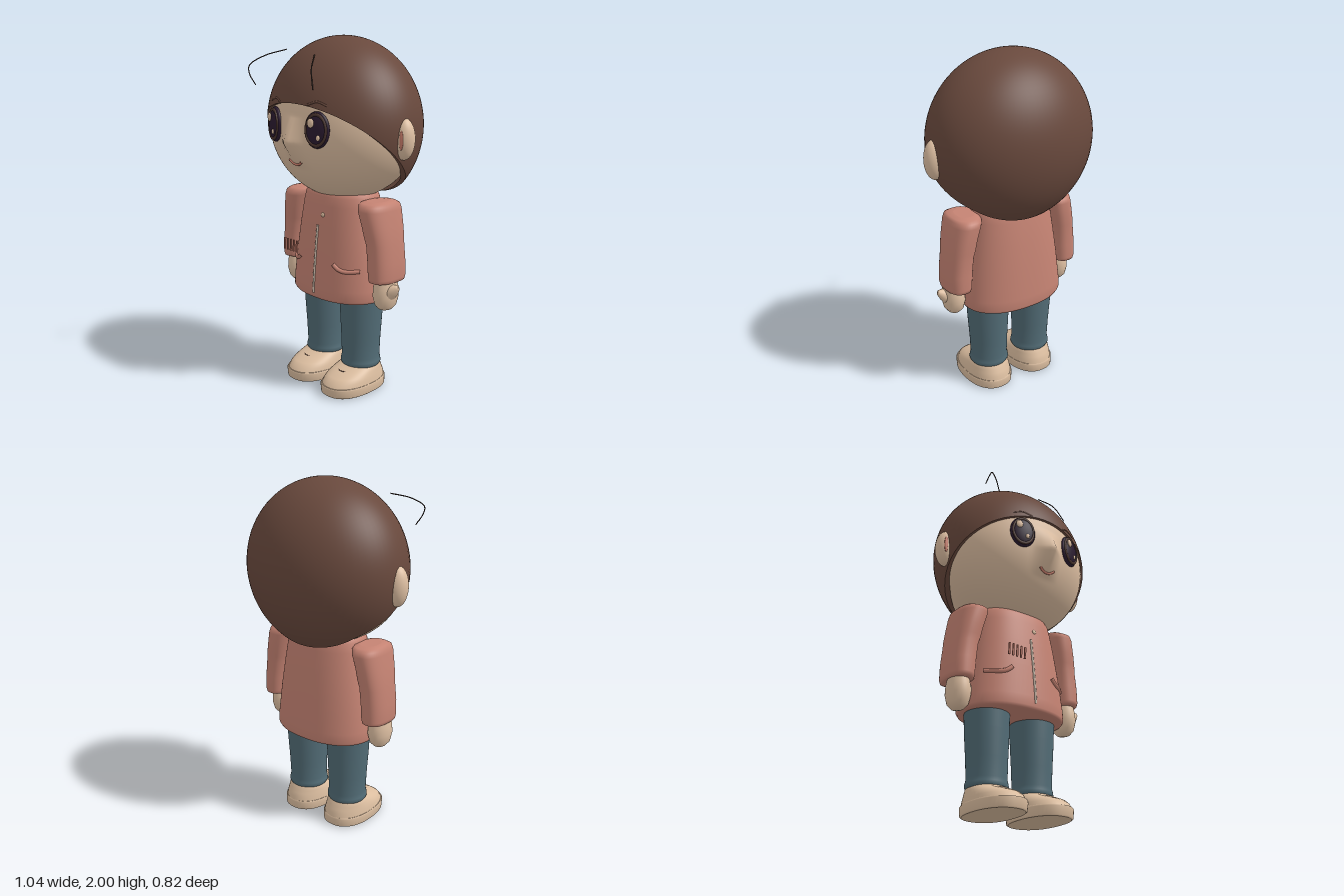
import * as THREE from 'three';

const mat = (name, color, side = THREE.FrontSide) => {
  const m = new THREE.MeshStandardMaterial({ color, side });
  m.name = name;
  return m;
};

// Skins a stack of closed rings (bottom to top), with optional flat caps
function skinRings(rings, capBottom = true, capTop = true) {
  const n = rings[0].length, pos = [], idx = [];
  rings.forEach(r => r.forEach(p => pos.push(p.x, p.y, p.z)));
  for (let j = 0; j < rings.length - 1; j++) for (let i = 0; i < n; i++) {
    const a = j * n + i, b = j * n + (i + 1) % n;
    idx.push(a, a + n, b, b, a + n, b + n);
  }
  const cap = (ring, up) => {
    const base = pos.length / 3, c = new THREE.Vector3();
    ring.forEach(p => { c.addScaledVector(p, 1 / n); pos.push(p.x, p.y, p.z); });
    pos.push(c.x, c.y, c.z);
    for (let i = 0; i < n; i++) {
      const a = base + i, b = base + (i + 1) % n;
      idx.push(base + n, up ? b : a, up ? a : b);
    }
  };
  if (capBottom) cap(rings[0], false);
  if (capTop) cap(rings[rings.length - 1], true);
  const g = new THREE.BufferGeometry();
  g.setAttribute('position', new THREE.Float32BufferAttribute(pos, 3));
  g.setIndex(idx);
  g.computeVertexNormals();
  return g;
}

// Rounded-oval sections: each is [y, cx, cz, rx, rz]; side mirrors cx
function loft(sections, side = 1, power = 2, n = 48) {
  const bend = v => Math.sign(v) * Math.abs(v) ** (2 / power);
  return skinRings(sections.map(([y, cx, cz, rx, rz]) => Array.from({ length: n }, (_, i) => {
    const a = i / n * Math.PI * 2;
    return new THREE.Vector3(side * cx + rx * bend(Math.cos(a)), y, cz + rz * bend(Math.sin(a)));
  })));
}

const tube = (points, r, seg = 24) => new THREE.TubeGeometry(
  new THREE.CatmullRomCurve3(points.map(p => new THREE.Vector3(...p))), seg, r, 8);

const ball = (x, y, z, rx, ry, rz) =>
  new THREE.SphereGeometry(1, 32, 24).scale(rx, ry, rz).translate(x, y, z);

// Depth of the face surface, including the pointed nose
const noseBump = (x, y) => {
  const v = y > 1.455 ? 1 - (y - 1.455) / 0.14 : 1 - (1.455 - y) / 0.15;
  return 0.066 * Math.max(0, 1 - Math.abs(x) / 0.1) * Math.max(0, v);
};
const faceZ = (x, y) => {
  const ry = y > 1.52 ? 0.46 : 0.42;
  return -0.02 + 0.375 * Math.sqrt(Math.max(0, 1 - (x / 0.465) ** 2 - ((y - 1.52) / ry) ** 2)) + noseBump(x, y);
};

const JACKET = [
  [0.548, 0, -0.01, 0.285, 0.2], [0.55, 0, -0.01, 0.305, 0.218], [0.565, 0, -0.01, 0.314, 0.226],
  [0.62, 0, -0.01, 0.312, 0.224], [0.8, 0, -0.01, 0.29, 0.208], [0.95, 0, -0.01, 0.267, 0.191],
  [1.08, 0, -0.01, 0.246, 0.172], [1.13, 0, -0.01, 0.236, 0.16], [1.155, 0, -0.01, 0.22, 0.148],
  [1.165, 0, -0.01, 0.2, 0.132]];
const jacketZ = (x, y) => {
  const k = Math.max(1, JACKET.findIndex(s => s[0] >= y));
  const a = JACKET[k - 1], b = JACKET[k], t = (y - a[0]) / (b[0] - a[0]);
  const rx = a[3] + (b[3] - a[3]) * t, rz = a[4] + (b[4] - a[4]) * t;
  return -0.01 + rz * Math.max(0, 1 - Math.abs(x / rx) ** 2.3) ** (1 / 2.3);
};

function hairGeometry() {
  const rim = z => z > -0.17 ? 1.355 + 0.85 * z : 1.21 + 1.8 * (z + 0.17);
  const at = (t, a, k = 1) => new THREE.Vector3(0.48 * k * Math.sin(t) * Math.cos(a),
    1.52 + 0.48 * Math.cos(t), -0.02 + 0.39 * k * Math.sin(t) * Math.sin(a));
  const n = 72, rows = 36, ends = [];
  for (let i = 0; i < n; i++) {
    let lo = 0.05, hi = 3.1;
    for (let s = 0; s < 30; s++) {
      const m = (lo + hi) / 2, p = at(m, i / n * Math.PI * 2);
      if (p.y > rim(p.z)) lo = m; else hi = m;
    }
    ends.push(lo);
  }
  const ring = (f, k) => ends.map((e, i) => at(Math.max(0.01, e * f), i / n * Math.PI * 2, k));
  const rings = [ring(1, 0.92), ring(1), ring(1)];
  for (let j = 1; j <= rows; j++) rings.push(ring(1 - j / rows));
  return skinRings(rings, false, true);
}

export function createModel() {
  const skin = mat('skin', 0xdfc0a3), hair = mat('hair brown', 0x69493d, THREE.DoubleSide);
  const coat = mat('jacket rose', 0xc58373), denim = mat('denim', 0x526c76);
  const shoe = mat('shoe beige', 0xdcbea0), dark = mat('eye dark', 0x2b1b30);
  const ringBrown = mat('eye ring brown', 0x4b352f), strand = mat('strand dark', 0x33231d);
  const metal = mat('zip beige', 0xc4b5a5), lip = mat('lip rose', 0xc67b69);
  const model = new THREE.Group();
  const add = (name, geo, m, parent = model) => {
    const mesh = new THREE.Mesh(geo, m);
    mesh.name = name;
    parent.add(mesh);
    return mesh;
  };

  // Head with the nose drawn out of the face
  const head = new THREE.SphereGeometry(1, 128, 96), p = head.attributes.position;
  for (let i = 0; i < p.count; i++) {
    const x = p.getX(i) * 0.465, v = p.getY(i), y = 1.52 + v * (v > 0 ? 0.46 : 0.42);
    const front = p.getZ(i) > 0;
    p.setXYZ(i, x, y, -0.02 + p.getZ(i) * 0.375 + (front ? noseBump(x, y) : 0));
  }
  head.computeVertexNormals();
  add('head', head, skin);
  add('hair', hairGeometry(), hair);
  add('rightStrand', tube([[-0.295, 1.92, 0.14], [-0.35, 1.885, 0.26], [-0.385, 1.835, 0.335],
    [-0.37, 1.79, 0.347], [-0.335, 1.73, 0.332]], 0.003, 40), strand);
  add('leftStrand', tube([[0.035, 1.9, 0.225], [0.09, 1.83, 0.295], [0.14, 1.73, 0.33]], 0.003), strand);

  // Mouth
  add('mouth', tube([-0.05, -0.025, 0, 0.025, 0.05].map(x => {
    const y = 1.328 + 9 * x * x;
    return [x, y, faceZ(x, y) + 0.002];
  }), 0.007), lip);

  for (const s of [1, -1]) {
    const side = s > 0 ? 'left' : 'right';

    // Ears
    add(side + 'Ear', ball(s * 0.462, 1.48, -0.012, 0.058, 0.11, 0.058), skin);
    add(side + 'InnerEar', ball(s * 0.485, 1.48, 0.036, 0.012, 0.05, 0.008), lip);

    // Eyes
    const eye = new THREE.Group();
    eye.name = side + 'Eye';
    eye.position.set(s * 0.17, 1.53, faceZ(0.17, 1.53));
    eye.rotation.set(-0.03, s * 0.3, 0);
    model.add(eye);
    add('eyeball', ball(0, 0, 0, 0.074, 0.096, 0.026), dark, eye);
    add('eyeRing', new THREE.TorusGeometry(0.06, 0.007, 8, 40).scale(1, 1.32, 1).translate(0, 0, 0.014), ringBrown, eye);
    add('bigGlint', ball(-0.026, 0.036, 0.025, 0.02, 0.024, 0.009), skin, eye);
    add('smallGlint', ball(0.02, -0.038, 0.024, 0.011, 0.014, 0.007), skin, eye);

    // Eyebrows
    add(side + 'Eyebrow', tube([[0.11, 1.655], [0.165, 1.672], [0.22, 1.655]].map(([x, y]) =>
      [s * x, y, faceZ(x, y) + 0.014]), 0.006), hair);

    // Sleeves
    add(side + 'Sleeve', loft([
      [0.692, 0.36, -0.005, 0.06, 0.1], [0.695, 0.36, -0.005, 0.069, 0.112], [0.715, 0.36, -0.005, 0.073, 0.117],
      [0.8, 0.356, -0.005, 0.076, 0.116], [0.9, 0.345, -0.005, 0.075, 0.117], [0.94, 0.337, -0.004, 0.079, 0.123],
      [1.0, 0.326, -0.002, 0.08, 0.128], [1.085, 0.306, 0, 0.084, 0.135], [1.112, 0.3, 0, 0.083, 0.128],
      [1.125, 0.296, 0, 0.074, 0.105], [1.13, 0.29, 0, 0.05, 0.065]], s, 2.5), coat);

    // Hands
    const hx = s > 0 ? 0.368 : -0.36;
    add(side + 'Hand', loft([
      [0.528, 0, 0, 0.012, 0.014], [0.535, 0, 0, 0.034, 0.042], [0.56, 0, 0, 0.054, 0.066],
      [0.61, 0, 0, 0.064, 0.08], [0.66, 0, 0, 0.062, 0.076], [0.7, 0, 0, 0.055, 0.066]]), skin)
      .position.set(hx, 0, 0.01);
    const thumb = add(side + 'Thumb', new THREE.LatheGeometry([[0.052, -0.04], [0.05, 0], [0.036, 0.045],
      [0.016, 0.082], [0, 0.09]].map(q => new THREE.Vector2(...q)), 24), skin);
    thumb.position.set(hx + 0.022, 0.628, 0.015);
    thumb.rotation.z = -0.98;

    // Trousers
    add(side + 'TrouserLeg', loft([
      [0.136, 0.15, -0.015, 0.1, 0.1], [0.14, 0.15, -0.015, 0.11, 0.11], [0.152, 0.15, -0.015, 0.117, 0.116],
      [0.168, 0.15, -0.015, 0.115, 0.114], [0.19, 0.15, -0.015, 0.108, 0.111], [0.3, 0.151, -0.015, 0.112, 0.115],
      [0.45, 0.153, -0.015, 0.121, 0.123], [0.6, 0.155, -0.015, 0.126, 0.127]], s), denim);

    // Shoes: sole band and upper
    add(side + 'Sole', loft([
      [0, 0.15, 0.045, 0.13, 0.198], [0.006, 0.15, 0.045, 0.138, 0.207], [0.05, 0.15, 0.047, 0.14, 0.21],
      [0.058, 0.15, 0.047, 0.135, 0.205]], s, 2.3), shoe);
    add(side + 'ShoeUpper', loft([
      [0.056, 0.15, 0.045, 0.134, 0.204], [0.08, 0.15, 0.04, 0.13, 0.194], [0.1, 0.15, 0.03, 0.124, 0.176],
      [0.12, 0.15, 0.01, 0.117, 0.146], [0.138, 0.15, -0.01, 0.109, 0.118], [0.148, 0.15, -0.015, 0.1, 0.105]],
    s, 2.2), shoe);
    add(side + 'ShoeSeam', tube([-0.07, 0, 0.07].map(d => [s * 0.15 + d, 0.124, 0.144 - 7 * d * d]), 0.003), ringBrown);

    // Pocket flaps
    add(side + 'Pocket', tube([[0.135, 0.77], [0.165, 0.747], [0.2, 0.737], [0.265, 0.74]].map(([x, y]) =>
      [s * x, y, jacketZ(x, y) + 0.003]), 0.012), coat);
  }

  // Jacket with zip, button and chest bars
  add('jacket', loft(JACKET, 1, 2.3, 72), coat);
  add('zip', tube([0.58, 0.7, 0.85, 0.97].map(y => [0, y, jacketZ(0, y)]), 0.007), metal);
  add('button', ball(0.032, 1.03, jacketZ(0.032, 1.03), 0.013, 0.013, 0.007), shoe);
  for (let i = 0; i < 5; i++) {
    const bar = add('chestBar', new THREE.BoxGeometry(0.009, 0.068, 0.008), lip);
    bar.position.set(-0.203 + i * 0.026, 0.836, 0.252);
    bar.rotation.z = -0.06;
  }
  return model;
}
